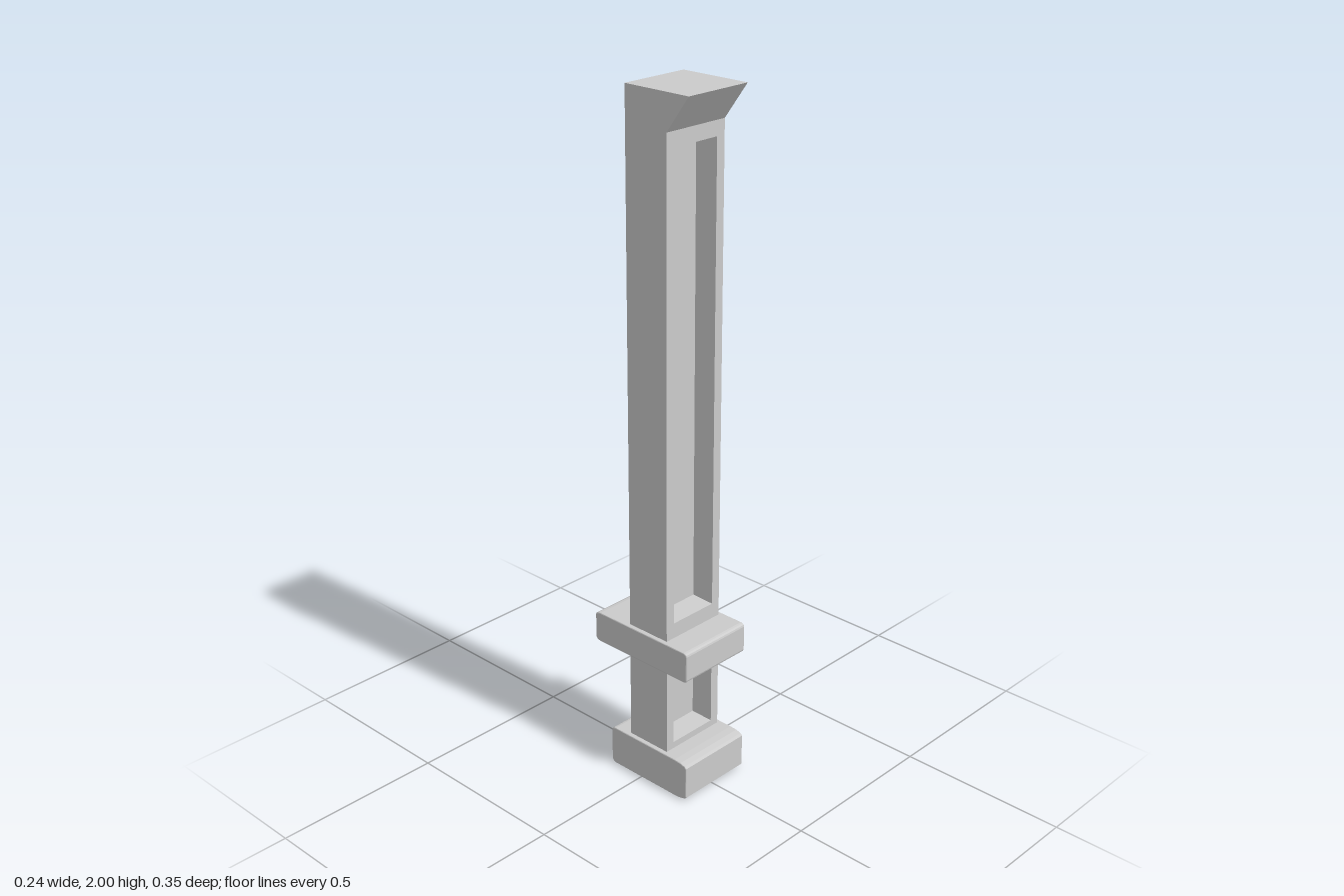
import * as THREE from 'three';

const material = new THREE.MeshStandardMaterial({ color: 0xcccccc, flatShading: true });

function addMesh(group, name, geometry) {
  const mesh = new THREE.Mesh(geometry, material);
  mesh.name = name;
  group.add(mesh);
}

// Extrudes a side profile of [z, y] points across x, centred on x = 0
function sideExtrude(points, width, bevel = 0) {
  const shape = new THREE.Shape(points.map(([z, y]) => new THREE.Vector2(z, y)));
  const depth = width - 2 * bevel;
  const geometry = new THREE.ExtrudeGeometry(shape, {
    depth, bevelEnabled: bevel > 0, bevelSize: bevel, bevelThickness: bevel,
    bevelOffset: -bevel, bevelSegments: 2,
  });
  return geometry.translate(0, 0, -depth / 2).rotateY(-Math.PI / 2);
}

// Block profile with eased corners; front and back easing lengths differ
function easedProfile(back, front, bottom, top, easeBack, easeFront, easeY) {
  const points = [];
  const corner = (z, y, sz, sy, ez, start) => {
    for (let i = 0; i <= 3; i++) {
      const a = start + (i / 3) * Math.PI / 2;
      points.push([z - sz * ez + ez * Math.cos(a), y - sy * easeY + easeY * Math.sin(a)]);
    }
  };
  corner(front, top, 1, 1, easeFront, 0);
  corner(back, top, -1, 1, easeBack, Math.PI / 2);
  corner(back, bottom, -1, -1, easeBack, Math.PI);
  corner(front, bottom, 1, -1, easeFront, Math.PI * 1.5);
  return points;
}

export function createModel() {
  const group = new THREE.Group();
  const halfW = 0.106, back = -0.052, front = 0.09, recess = 0.025;
  const shaftBottom = 0.06, flareBottom = 1.9;

  // Solid rear of the shaft, whose front forms the panel floors
  const core = new THREE.BoxGeometry(halfW * 2, 2 - shaftBottom, recess - back);
  core.translate(0, (2 + shaftBottom) / 2, (recess + back) / 2);
  addMesh(group, 'shaftBack', core);

  // Front frame with two recessed panels
  const panels = [[0.14, 0.366], [0.525, 1.858]];
  const panelHalf = 0.078, taper = 0.007;
  const frame = new THREE.Shape([
    new THREE.Vector2(-halfW, shaftBottom), new THREE.Vector2(halfW, shaftBottom),
    new THREE.Vector2(halfW, 2), new THREE.Vector2(-halfW, 2),
  ]);
  for (const [y0, y1] of panels) {
    frame.holes.push(new THREE.Path([
      new THREE.Vector2(-panelHalf, y0), new THREE.Vector2(-panelHalf, y1),
      new THREE.Vector2(panelHalf, y1), new THREE.Vector2(panelHalf, y0),
    ]));
  }
  const frameGeo = new THREE.ExtrudeGeometry(frame, { depth: front - recess, bevelEnabled: false });
  // Taper the recess walls inward towards the panel floors
  const pos = frameGeo.attributes.position;
  for (let i = 0; i < pos.count; i++) {
    const x = pos.getX(i), y = pos.getY(i);
    if (pos.getZ(i) > 0.001 || Math.abs(x) > 0.09) continue;
    const [y0, y1] = panels[y < 0.45 ? 0 : 1];
    pos.setX(i, x - Math.sign(x) * taper);
    pos.setY(i, y + (y < (y0 + y1) / 2 ? taper : -taper));
  }
  frameGeo.computeVertexNormals();
  frameGeo.translate(0, 0, recess);
  addMesh(group, 'shaftFrame', frameGeo);

  // Flared lip at the top
  addMesh(group, 'topFlare',
    sideExtrude([[front, flareBottom], [0.164, 2], [front, 2]], halfW * 2));

  // Collar and foot
  addMesh(group, 'collar',
    sideExtrude(easedProfile(-0.177, 0.177, 0.386, 0.479, 0.02, 0.012, 0.01), 0.238, 0.003));
  addMesh(group, 'foot',
    sideExtrude(easedProfile(-0.118, 0.177, 0, 0.12, 0.015, 0.045, 0.012), 0.238, 0.003));

  return group;
}
